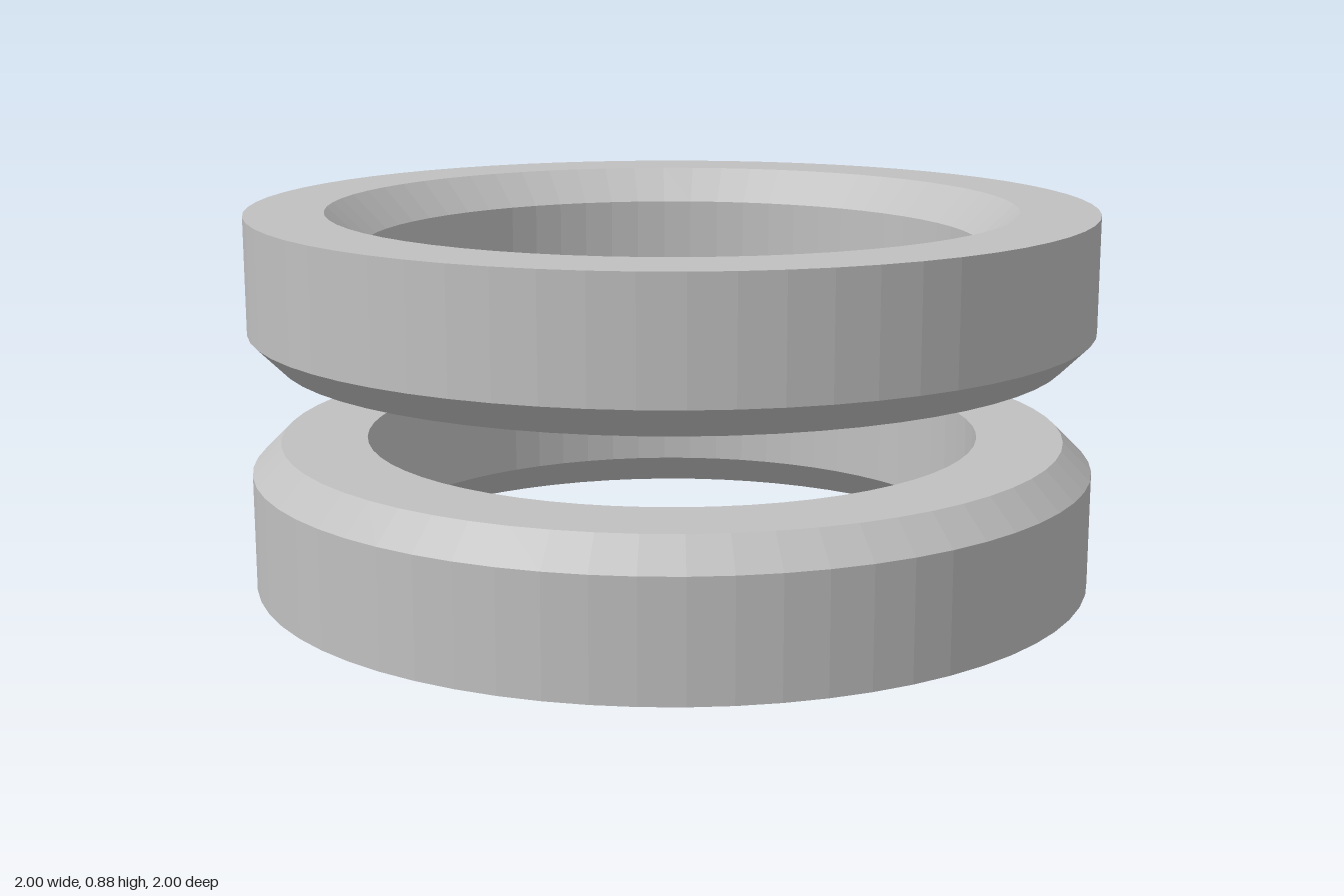
import * as THREE from 'three';

const HEIGHT = 0.34;
const UPPER_Y = 0.54;

// Ring section [radius, y], counter-clockwise: bevelled at the lower inner and upper outer edges
const SECTION = [
  [0.73, 0.082], [0.815, 0], [1, 0], [1, 0.272], [0.932, HEIGHT], [0.73, HEIGHT],
];

function makeRing(name, section, material) {
  const points = [...section, section[0]].map(([r, y]) => new THREE.Vector2(r, y));
  const ring = new THREE.Mesh(new THREE.LatheGeometry(points, 64), material);
  ring.name = name;
  return ring;
}

export function createModel() {
  const group = new THREE.Group();
  group.name = 'ringPair';
  const metal = new THREE.MeshStandardMaterial({ color: 0xc0c0c0 });
  metal.name = 'light grey metal';
  metal.flatShading = true;

  group.add(makeRing('lowerRing', SECTION, metal));

  // Upper ring mirrors the lower one; reversing the section keeps faces outward
  const mirrored = SECTION.map(([r, y]) => [r, HEIGHT - y]).reverse();
  const upper = makeRing('upperRing', mirrored, metal);
  upper.position.y = UPPER_Y;
  group.add(upper);
  return group;
}
